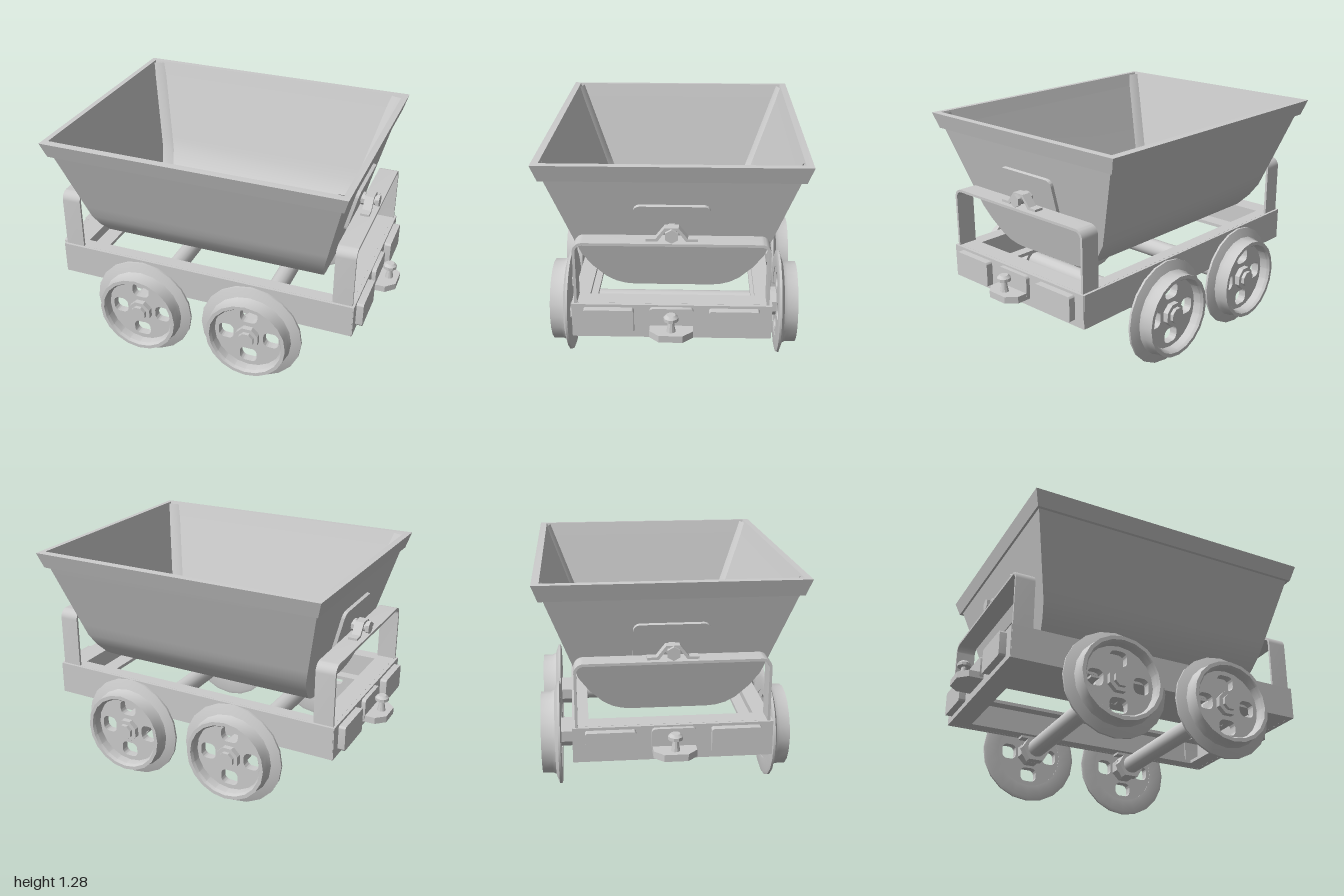
import * as THREE from 'three';
import { toCreasedNormals } from 'three/addons/utils/BufferGeometryUtils.js';

const grey = new THREE.MeshStandardMaterial({ color: 0xcccccc });
const greySheet = new THREE.MeshStandardMaterial({ color: 0xcccccc, side: THREE.DoubleSide });

function add(parent, name, geo, x = 0, y = 0, z = 0, mat = grey) {
  const mesh = new THREE.Mesh(toCreasedNormals(geo, 0.6), mat);
  mesh.name = name;
  mesh.position.set(x, y, z);
  parent.add(mesh);
  return mesh;
}
const box = (parent, name, w, h, d, x, y, z) => add(parent, name, new THREE.BoxGeometry(w, h, d), x, y, z);

// Cylinder along x or z
function rod(axis, r, len, sides) {
  const g = new THREE.CylinderGeometry(r, r, len, sides);
  if (sides === 8 || sides === 6) g.rotateY(Math.PI / sides);
  return axis === 'x' ? g.rotateZ(Math.PI / 2) : g.rotateX(Math.PI / 2);
}

// Skin a sequence of equally long point rows
function loft(rows) {
  const pos = [], idx = [], n = rows[0].length;
  rows.forEach(row => row.forEach(p => pos.push(...p)));
  for (let i = 0; i < rows.length - 1; i++)
    for (let j = 0; j < n - 1; j++) {
      const a = i * n + j, b = a + n;
      idx.push(a, a + 1, b, b, a + 1, b + 1);
    }
  const g = new THREE.BufferGeometry();
  g.setAttribute('position', new THREE.Float32BufferAttribute(pos, 3));
  g.setIndex(idx);
  return g;
}

function roundedRect(w, h, r, Type = THREE.Shape, cx = 0, cy = 0) {
  const s = new Type(), x = w / 2, y = h / 2;
  s.moveTo(cx - x + r, cy - y);
  s.absarc(cx + x - r, cy - y + r, r, -Math.PI / 2, 0);
  s.absarc(cx + x - r, cy + y - r, r, 0, Math.PI / 2);
  s.absarc(cx - x + r, cy + y - r, r, Math.PI / 2, Math.PI);
  s.absarc(cx - x + r, cy - y + r, r, Math.PI, Math.PI * 1.5);
  s.closePath();
  return s;
}
const extrude = (shape, depth, curveSegments = 4) =>
  new THREE.ExtrudeGeometry(shape, { depth, bevelEnabled: false, curveSegments });
// Shape drawn in the (z, y) plane, extruded towards +x
const extrudeX = (shape, depth, seg) => extrude(shape, depth, seg).rotateY(Math.PI / 2);

// Half cross-section of the tub, [z, y], from rim to floor
const half = [[0.665, 1.275], [0.5, 0.82], [0.472, 0.745], [0.42, 0.67], [0.35, 0.6], [0.3, 0.57], [0.25, 0.555], [0.2, 0.55]];
const SLOPE = 0.25;
const endX = y => 0.64 + (y - 0.55) * SLOPE;

function buildTub() {
  const tub = new THREE.Group();
  tub.name = 'tub';
  // Outer and inner skins with sloping ends
  for (const t of [0, 0.015]) {
    const label = t ? 'tubInside' : 'tubOutside';
    const side = half.map(([z, y], i) => [z - t, i ? y + t * (1 - z) : y]);
    const profile = [...side, ...side.map(([z, y]) => [-z, y]).reverse()];
    const wall = [-1, 1].map(s => profile.map(([z, y]) => [s * (endX(y) - t), y, z]));
    add(tub, label + 'Sheet', loft(wall), 0, 0, 0, greySheet);
    for (const s of [-1, 1]) {
      const rows = side.map(([z, y]) => [[s * (endX(y) - t), y, z], [s * (endX(y) - t), y, -z]]);
      add(tub, label + 'End', loft(rows), 0, 0, 0, greySheet);
    }
  }
  // Corner strips bridging side sheet and end plate inside
  for (const sx of [-1, 1]) for (const sz of [-1, 1]) {
    const rows = half.map(([z, y], i) => {
      const f = Math.max(0, 1 - i / 7), x = endX(y) - 0.016;
      const yy = i ? y + 0.016 : y - 0.005;
      return [[sx * (x - 0.065), yy, sz * (z - 0.017)], [sx * (x - 0.045), yy + 0.012 * (i > 3), sz * (z - 0.03)],
        [sx * x, yy + 0.03 * (1 - f), sz * (z - 0.04)]];
    });
    add(tub, 'cornerStrip', loft(rows), 0, 0, 0, greySheet);
  }
  // Flared rim band, swept round four corners
  const ring = (x, z, y) => [[x, y, z], [x, y, -z], [-x, y, -z], [-x, y, z], [x, y, z]];
  add(tub, 'rimBand', loft([
    ring(0.8, 0.632, 1.192), ring(0.815, 0.657, 1.188), ring(0.84, 0.687, 1.275),
    ring(0.806, 0.648, 1.278), ring(0.786, 0.621, 1.2)]), 0, 0, 0, greySheet);
  return tub;
}

// Everything at the +x end: hoop, pivot, end beam, pads and coupling
function buildEnd() {
  const end = new THREE.Group();
  end.name = 'endAssembly';

  const hoop = new THREE.Shape();
  hoop.moveTo(-0.497, 0.4);
  hoop.lineTo(-0.497, 0.83);
  hoop.absarc(-0.447, 0.83, 0.05, Math.PI, Math.PI / 2, true);
  hoop.absarc(0.447, 0.83, 0.05, Math.PI / 2, 0, true);
  hoop.lineTo(0.497, 0.4);
  hoop.lineTo(0.483, 0.4);
  hoop.absarc(0.447, 0.83, 0.036, 0, Math.PI / 2);
  hoop.absarc(-0.447, 0.83, 0.036, Math.PI / 2, Math.PI);
  hoop.lineTo(-0.483, 0.4);
  add(end, 'supportHoop', extrudeX(hoop, 0.11, 5), 0.748);

  // Rounded reinforcing plate lying on the sloping tub end
  const plate = add(end, 'pivotPlate', extrudeX(roundedRect(0.39, 0.26, 0.035), 0.02), 0.733, 0.927, 0);
  plate.rotation.z = -Math.atan(SLOPE);

  // Saddle strap over the pivot pin
  const pts = [[-0.13, 0.878], [-0.13, 0.893], [-0.082, 0.893], [-0.035, 0.952], [0.035, 0.952],
    [0.082, 0.893], [0.13, 0.893], [0.13, 0.878], [0.073, 0.878], [0.028, 0.938], [-0.028, 0.938], [-0.073, 0.878]];
  add(end, 'pivotSaddle', extrudeX(new THREE.Shape(pts.map(p => new THREE.Vector2(...p))), 0.05), 0.778);
  add(end, 'pivotPin', rod('x', 0.026, 0.13, 12), 0.79, 0.917, 0);
  add(end, 'pivotNut', rod('x', 0.036, 0.02, 6), 0.845, 0.917, 0);
  add(end, 'pivotCollar', rod('x', 0.036, 0.022, 8), 0.765, 0.917, 0);

  // Channel-section end beam
  box(end, 'endBeamWeb', 0.025, 0.185, 1.02, 0.857, 0.452, 0);
  for (const y of [0.37, 0.535]) box(end, 'endBeamFlange', 0.1, 0.02, 0.98, 0.8, y, 0);

  for (const z of [-0.32, 0.32])
    add(end, 'bufferPad', extrudeX(roundedRect(0.257, 0.14, 0.012), 0.04), 0.868, 0.46, z);

  // Coupling plate, shelf and pin
  add(end, 'couplingPlate', extrudeX(roundedRect(0.225, 0.13, 0.02), 0.025), 0.868, 0.47, 0);
  const shelf = new THREE.Shape([[0.865, -0.11], [0.95, -0.11], [1, -0.06], [1, 0.06], [0.95, 0.11], [0.865, 0.11]]
    .map(p => new THREE.Vector2(...p)));
  add(end, 'couplingShelf', extrude(shelf, 0.037).rotateX(-Math.PI / 2), 0, 0.404, 0);
  const pin = [[0, 0.43], [0.026, 0.43], [0.018, 0.47], [0.014, 0.5], [0.038, 0.503], [0.038, 0.52], [0.024, 0.534], [0, 0.534]];
  add(end, 'couplingPin', new THREE.LatheGeometry(pin.map(p => new THREE.Vector2(...p)), 10), 0.948, 0, 0);
  return end;
}

// One wheel with its bearing on the +z side, centred on the axle line
function buildWheel() {
  const wheel = new THREE.Group();
  wheel.name = 'wheel';
  const rim = [[0.2, 0.577], [0.275, 0.575], [0.292, 0.58], [0.292, 0.592], [0.265, 0.602], [0.24, 0.61],
    [0.23, 0.63], [0.23, 0.685], [0.21, 0.685], [0.2, 0.67], [0.198, 0.577]];
  add(wheel, 'wheelRim', new THREE.LatheGeometry(rim.map(p => new THREE.Vector2(...p)), 20).rotateX(Math.PI / 2));

  const disc = new THREE.Shape();
  disc.absarc(0, 0, 0.205, 0, Math.PI * 2);
  for (let i = 0; i < 4; i++) {
    const a = i * Math.PI / 2;
    disc.holes.push(roundedRect(i % 2 ? 0.1 : 0.088, i % 2 ? 0.085 : 0.092, 0.032, THREE.Path,
      0.13 * Math.cos(a), 0.13 * Math.sin(a)));
  }
  add(wheel, 'wheelDisc', extrude(disc, 0.045, 10), 0, 0, 0.58);
  add(wheel, 'wheelHub', rod('z', 0.068, 0.04, 8), 0, 0, 0.635);
  add(wheel, 'hubCap', rod('z', 0.045, 0.03, 8), 0, 0, 0.66);
  add(wheel, 'innerHub', rod('z', 0.08, 0.065, 8), 0, 0, 0.545);
  // Bearing hanging below the side beam
  add(wheel, 'bearingBlock', rod('z', 0.086, 0.055, 6), 0, 0, 0.483);
  box(wheel, 'bearingFoot', 0.2, 0.02, 0.055, 0, 0.064, 0.483);
  return wheel;
}

export function createModel() {
  const cart = new THREE.Group();
  cart.name = 'tippingCart';
  cart.add(buildTub());

  for (const turn of [0, Math.PI]) {
    const end = buildEnd();
    end.rotation.y = turn;
    cart.add(end);
  }

  // Channel-section side beams
  for (const s of [-1, 1]) {
    box(cart, 'sideBeamWeb', 1.73, 0.185, 0.02, 0, 0.452, s * 0.502);
    for (const y of [0.37, 0.535]) box(cart, 'sideBeamFlange', 1.7, 0.02, 0.07, 0, y, s * 0.462);
  }

  // Two wheelsets
  for (const x of [-0.325, 0.325]) {
    const set = new THREE.Group();
    set.name = 'wheelset';
    set.position.set(x, 0.292, 0);
    add(set, 'axle', rod('z', 0.055, 1.1, 16));
    for (const turn of [0, Math.PI]) {
      const wheel = buildWheel();
      wheel.rotation.y = turn;
      set.add(wheel);
    }
    cart.add(set);
  }
  return cart;
}
